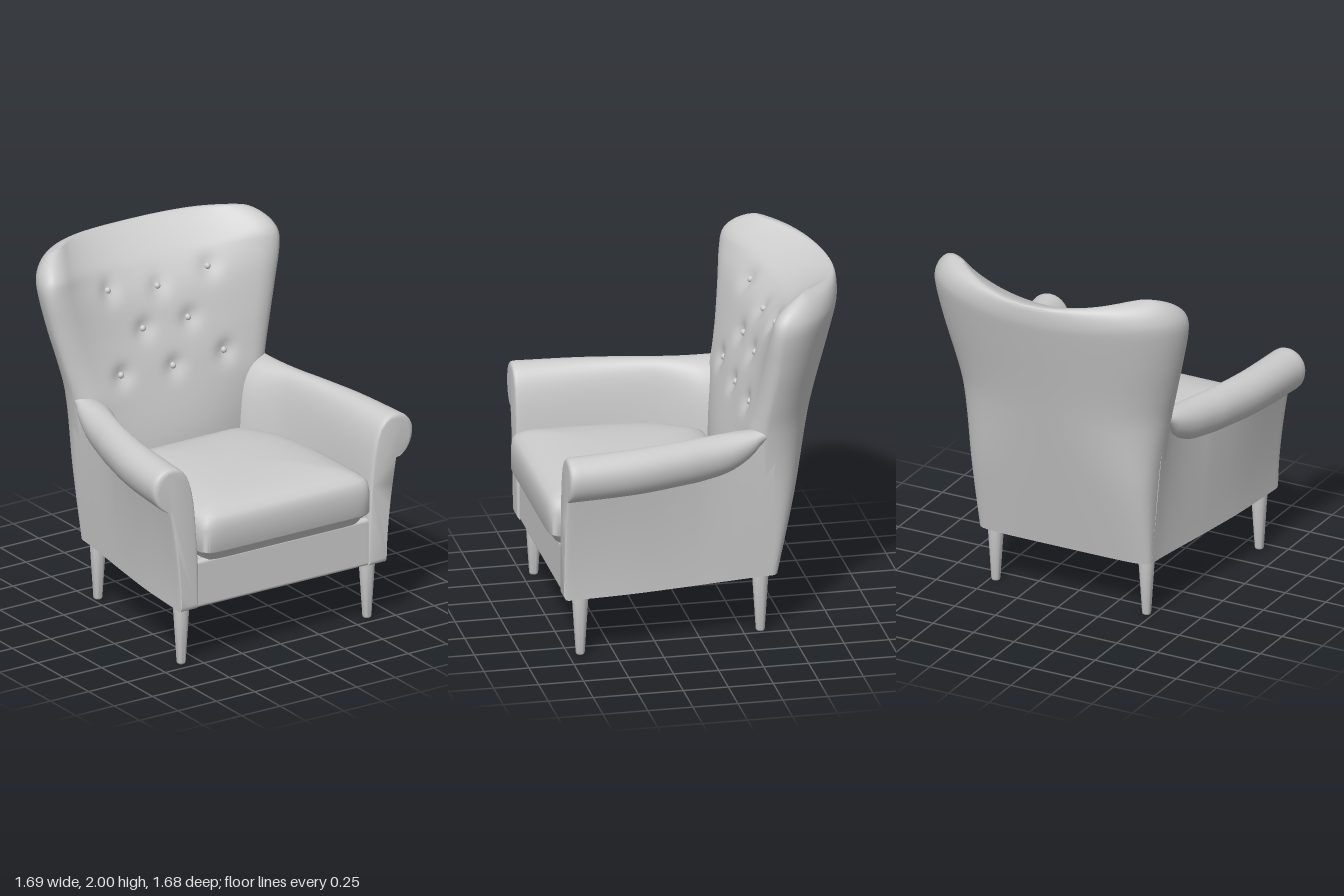
import * as THREE from 'three';
import { toCreasedNormals } from 'three/addons/utils/BufferGeometryUtils.js';
import { RoundedBoxGeometry } from 'three/addons/geometries/RoundedBoxGeometry.js';

const fabric = new THREE.MeshStandardMaterial({ color: 0xcccccc, side: THREE.DoubleSide });

// Smooth interpolation through [position, value] pairs
function track(pts) {
  const slope = i => {
    const a = pts[Math.max(i - 1, 0)], b = pts[Math.min(i + 1, pts.length - 1)];
    return (b[1] - a[1]) / (b[0] - a[0]);
  };
  return x => {
    let i = 0;
    while (i < pts.length - 2 && x > pts[i + 1][0]) i++;
    const [x0, y0] = pts[i], [x1, y1] = pts[i + 1], h = x1 - x0;
    const t = Math.min(1, Math.max(0, (x - x0) / h)), u = 1 - t;
    return y0 * (1 + 2 * t) * u * u + y1 * t * t * (3 - 2 * t)
      + h * (slope(i) * t * u * u - slope(i + 1) * t * t * u);
  };
}

// Skin closed rings of Vector3, with flat caps on the chosen ends
function loft(rings, flat, capStart, capEnd, crease = 0.7) {
  const n = rings[0].length, index = [], pos = rings.flat();
  for (let i = 0; i < rings.length - 1; i++)
    for (let j = 0; j < n; j++) {
      const k = (j + 1) % n, a = i * n + j, b = i * n + k;
      index.push(a, b, b + n, a, b + n, a + n);
    }
  const cap = (r, inner) => {
    const axis = flat === 'y' ? 'z' : 'y', out = rings[r][0][flat] - rings[inner][0][flat];
    const contour = rings[r].map(p => new THREE.Vector2(p.x, p[axis]));
    for (const f of THREE.ShapeUtils.triangulateShape(contour, [])) {
      const [a, b, c] = f.map(v => rings[r][v]);
      const normal = b.clone().sub(a).cross(c.clone().sub(a));
      const order = normal[flat] * out > 0 ? f : [f[0], f[2], f[1]];
      index.push(...order.map(v => v + r * n));
    }
  };
  if (capStart) cap(0, 1);
  if (capEnd) cap(rings.length - 1, rings.length - 2);
  const g = new THREE.BufferGeometry().setFromPoints(pos);
  g.setIndex(index);
  return toCreasedNormals(g, crease);
}

// Backrest rules by height; past is an elliptical fall-off from 1 to 0 at the top
const past = (Y, start) => Math.sqrt(Math.max(0, 1 - (Math.max(0, Y - start) / (2 - start)) ** 2));
const flare = track([[0.34, 0.53], [0.9, 0.575], [1.2, 0.62], [1.4, 0.67], [1.6, 0.722], [1.8, 0.762], [2, 0.765]]);
const halfWidth = Y => flare(Y) - 0.18 * (1 - past(Y, 1.82));
const frontEdge = track([[0.34, -0.27], [1.15, -0.27], [1.3, -0.295], [1.4, -0.31], [1.6, -0.33], [1.8, -0.345], [1.9, -0.365], [2, -0.43]]);
const frontMid = track([[0.34, -0.2], [0.9, -0.2], [1.28, -0.285], [1.5, -0.355], [1.72, -0.435], [1.86, -0.54], [1.94, -0.64], [2, -0.72]]);
const sideZ = track([[0.34, -0.36], [1.2, -0.36], [1.6, -0.41], [1.8, -0.43], [1.9, -0.455], [1.96, -0.5], [2, -0.56]]);
const boxiness = track([[0.34, 0.35], [0.8, 0.5], [1.3, 0.9], [2, 1]]);
const sag = (s, Y) => 0.055 * (1 - s * s) ** 1.6 * THREE.MathUtils.smoothstep(Y, 1.2, 2);
const buttons = [[-0.325, 1.735], [0, 1.69], [0.325, 1.735], [-0.147, 1.5], [0.147, 1.5], [-0.335, 1.29], [0, 1.275], [0.335, 1.29]];

function frontZ(s, Y) {
  const mid = frontMid(Y), reach = 1.2 * (frontEdge(Y) - mid), x = s * halfWidth(Y), y = Y - sag(s, Y);
  const q = Math.max(0, (Math.abs(s) - 0.8) / 0.2);
  let z = mid + reach * s * s - (mid + reach - sideZ(Y)) * (1 - Math.sqrt(Math.max(0, 1 - q * q)));
  for (const [bx, by] of buttons) z -= 0.03 * Math.exp(-((x - bx) ** 2 + (y - by) ** 2) / 0.0028);
  return z;
}
function rearZ(s, Y) {
  const e = boxiness(Y), side = sideZ(Y), rear = -0.45 - 0.25 * (Y - 0.34);
  return side + (rear - side) * Math.max(0, 1 - Math.abs(s) ** (2 / e)) ** (e / 2);
}

function backGeometry() {
  const levels = [], N = 64, rings = [];
  for (let i = 0; i < 56; i++) levels.push(0.34 + 1.52 * i / 56);
  for (let i = 0; i <= 14; i++) levels.push(1.86 + 0.14 * Math.sin(i / 14 * Math.PI / 2));
  for (const Y of levels) {
    const round = past(Y, 1.86), ring = [];
    for (let j = 0; j < 2 * N; j++) {
      const s = Math.sin((j <= N ? j / N - 0.5 : 1.5 - j / N) * Math.PI);
      const f = frontZ(s, Y), r = rearZ(s, Y), ridge = f + (r - f) * (0.75 - 0.22 * s * s);
      ring.push(new THREE.Vector3(s * halfWidth(Y), Y - sag(s, Y), ridge + ((j <= N ? f : r) - ridge) * round));
    }
    rings.push(ring);
  }
  return loft(rings, 'y', true, false, 0.9);
}

// Arm rules by depth
const armFoot = track([[-0.4, 0.53], [-0.3, 0.54], [0.1, 0.6], [0.4, 0.64], [0.79, 0.67]]);
const armInner = track([[-0.4, 0.35], [-0.22, 0.375], [-0.1, 0.44], [0, 0.49], [0.2, 0.53], [0.4, 0.548], [0.79, 0.555]]);
const rollX = track([[-0.4, 0.6], [-0.33, 0.59], [-0.27, 0.582], [-0.15, 0.584], [0, 0.607], [0.1, 0.632], [0.4, 0.692], [0.79, 0.735]]);
const rollR = track([[-0.4, 0.012], [-0.33, 0.03], [-0.27, 0.062], [-0.15, 0.095], [0, 0.108], [0.1, 0.11], [0.4, 0.113], [0.79, 0.111]]);

function armSection(z, inset) {
  const c = rollX(z), r = rollR(z), xi = armInner(z), xo = armFoot(z);
  const top = 1.207 - 0.015 * z, cy = top - r, join = cy - 1.22 * r;
  const bow = 1.1 + 0.5 * THREE.MathUtils.smoothstep(z, -0.3, 0.6), pts = [];
  for (let i = 0; i <= 8; i++) { // flared outer panel
    const t = i / 8;
    pts.push([xo + (c + 0.005 - xo) * t ** bow, 0.34 + (join - 0.34) * t]);
  }
  for (let i = 0; i <= 18; i++) { // scroll, a little deeper underneath
    const a = (-72 + 162 * i / 18) * Math.PI / 180, sn = Math.sin(a);
    pts.push([c + r * Math.cos(a), cy + r * sn * (sn < 0 ? 1.25 : 1)]);
  }
  const inner = new THREE.CubicBezierCurve(new THREE.Vector2(c, top), new THREE.Vector2(c - 0.6 * (c - xi), top),
    new THREE.Vector2(xi + 0.03, 1.08), new THREE.Vector2(xi + 0.015, 0.8));
  inner.getPoints(12).slice(1).forEach(p => pts.push([p.x, p.y]));
  pts.push([xi, 0.6], [xi, 0.34]);
  // the front edge is softened by pulling it towards the middle of the panel
  return pts.map(([x, y]) => new THREE.Vector3(x + (0.65 - x) * inset, y + (0.85 - y) * inset * 0.4, z));
}

function armGeometry(side) {
  let rings = [];
  for (let i = 0; i <= 40; i++) rings.push(armSection(-0.4 + 1.16 * i / 40, 0));
  rings.push(armSection(0.775, 0.02), armSection(0.783, 0.07), armSection(0.787, 0.15));
  if (side < 0) rings = rings.map(r => r.map(p => new THREE.Vector3(-p.x, p.y, p.z)).reverse());
  return loft(rings, 'z', true, true);
}

// Cushion outline: a nearly square-cornered block narrowing towards the back
const cushionHalf = track([[-0.22, 0.38], [-0.1, 0.445], [0, 0.495], [0.15, 0.53], [0.35, 0.55], [0.84, 0.557]]);
function cushionRing(y, inset) {
  const ring = [], pw = v => Math.sign(v) * Math.abs(v) ** 0.13;
  for (let i = 0; i < 128; i++) {
    // angles crowd towards the axes, where the outline moves fastest
    const t = i / 128 * Math.PI * 2, a = t - 0.235 * Math.sin(4 * t);
    const z = 0.31 - 0.53 * pw(Math.sin(a)), k = 1 - inset / 0.54;
    ring.push(new THREE.Vector3(pw(Math.cos(a)) * cushionHalf(z) * k, y, 0.31 + (z - 0.31) * k));
  }
  return ring;
}

// Base outline, wide at the front
function trapezoid(type, front, back, z0, z1) {
  const s = new type();
  s.moveTo(-front, -z0).lineTo(front, -z0).lineTo(back, -z1).lineTo(-back, -z1).closePath();
  return s;
}
function slab(shape, y, height) {
  return new THREE.ExtrudeGeometry(shape, { depth: height, bevelEnabled: false }).rotateX(-Math.PI / 2).translate(0, y, 0);
}

export function createModel() {
  const group = new THREE.Group();
  const add = (name, geometry, x = 0, y = 0, z = 0) => {
    const m = new THREE.Mesh(geometry, fabric);
    m.name = name;
    m.position.set(x, y, z);
    group.add(m);
  };

  add('backrest', backGeometry());
  for (const [x, y] of buttons) {
    const s = x / halfWidth(y), Y = y + sag(s, y);
    add('backButton', new THREE.SphereGeometry(0.018, 16, 12), x, y, frontZ(s, Y) + 0.004);
  }

  // Seat cushion, crowned on top, with a sloped underside
  const profile = [[0.61, 0.05], [0.64, 0.032], [0.668, 0.004], [0.675, 0], [0.8, 0], [0.845, 0.006],
    [0.868, 0.022], [0.888, 0.055], [0.906, 0.1], [0.92, 0.16], [0.931, 0.25], [0.938, 0.38], [0.94, 0.5]];
  add('seatCushion', loft(profile.map(([y, i]) => cushionRing(y, i)), 'y', true, true, 0.65));

  // Base: front rail, open frame underneath and seat deck
  add('frontRail', new RoundedBoxGeometry(1.14, 0.275, 0.1, 4, 0.02), 0, 0.4775, 0.724);
  const frame = trapezoid(THREE.Shape, 0.58, 0.47, 0.74, -0.32);
  frame.holes.push(trapezoid(THREE.Path, 0.5, 0.36, 0.6, -0.19));
  add('baseFrame', slab(frame, 0.342, 0.2));
  add('seatDeck', slab(trapezoid(THREE.Shape, 0.58, 0.42, 0.74, -0.3), 0.542, 0.075));

  for (const side of [1, -1]) {
    add(side > 0 ? 'leftArm' : 'rightArm', armGeometry(side));
    // Tapered legs with rounded feet
    for (const [name, x, z] of [['frontLeg', 0.605, 0.685], ['backLeg', 0.465, -0.345]]) {
      const leg = [[0, 0], [0.016, 0], [0.022, 0.004], [0.025, 0.012], [0.046, 0.345], [0, 0.345]];
      add(name, toCreasedNormals(new THREE.LatheGeometry(leg.map(p => new THREE.Vector2(...p)), 24), 0.9), side * x, 0, z);
    }
  }
  return group;
}
